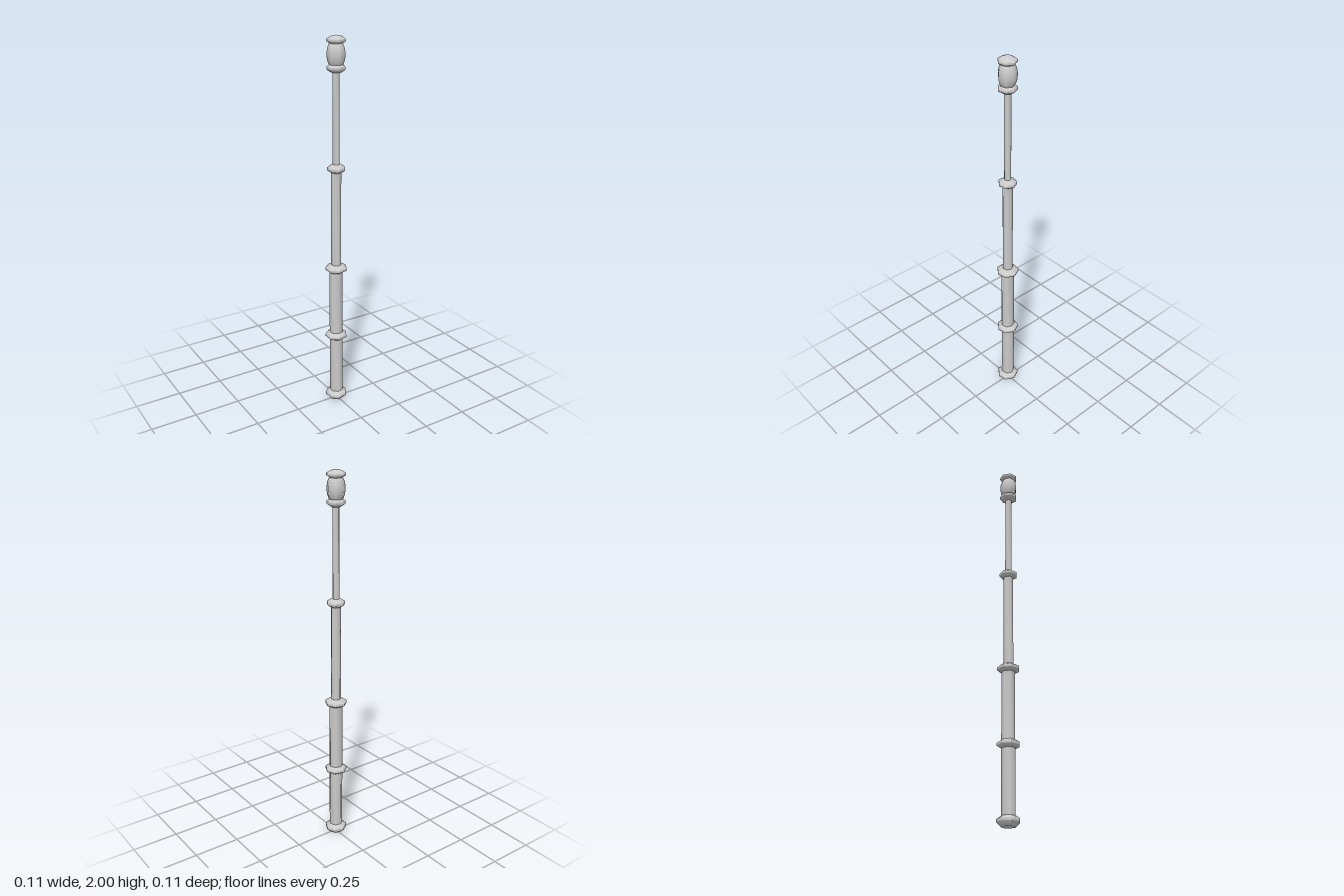
import * as THREE from 'three';
import { toCreasedNormals } from 'three/addons/utils/BufferGeometryUtils.js';

const SIDES = 7;

export function createModel() {
  const staff = new THREE.Group();
  staff.name = 'staff';
  const material = new THREE.MeshStandardMaterial({ color: 0xcccccc });

  // Seven-sided turned part; profile runs from bottom to top, one corner faces +x
  function turned(name, profile, crease = 1.0) {
    const points = profile.map(([r, y]) => new THREE.Vector2(r, y));
    const lathe = new THREE.LatheGeometry(points, SIDES, Math.PI / 2);
    const mesh = new THREE.Mesh(toCreasedNormals(lathe, crease), material);
    mesh.name = name;
    mesh.position.x = -0.003;
    staff.add(mesh);
  }

  // Tube sections, thinner toward the top
  const tubes = [
    ['lowerTube', 0.036, 0.03, 0.795],
    ['middleTube', 0.027, 0.795, 1.342],
    ['upperTube', 0.018, 1.342, 1.845],
  ];
  for (const [name, r, y0, y1] of tubes) turned(name, [[r, y0], [r, y1]]);

  // Bevelled collars: name, rim radius, neck radius, height
  const collars = [
    ['lowerCollar', 0.0585, 0.034, 0.397],
    ['middleCollar', 0.0585, 0.034, 0.794],
    ['upperCollar', 0.048, 0.025, 1.342],
    ['knobCollar', 0.048, 0.025, 1.845],
  ];
  for (const [name, rim, neck, y] of collars) {
    turned(name, [
      [0, y - 0.022], [neck, y - 0.022], [rim, y - 0.007],
      [rim, y + 0.007], [neck, y + 0.022], [0, y + 0.022],
    ]);
  }

  // Foot with a flat underside
  turned('foot', [
    [0, 0], [0.036, 0], [0.0585, 0.022], [0.0585, 0.037], [0.036, 0.052], [0, 0.052],
  ]);

  // Bulging knob
  const bulge = [];
  for (let i = 0; i <= 8; i++) {
    const t = -1 + i / 4;
    bulge.push([0.047 * Math.sqrt(1 - 0.62 * t * t), 1.91 + 0.06 * t]);
  }
  turned('knob', bulge);

  // Domed cap
  turned('cap', [
    [0, 1.958], [0.03, 1.958], [0.048, 1.972], [0.048, 1.982],
    [0.034, 1.992], [0.018, 1.998], [0, 2],
  ]);

  return staff;
}
